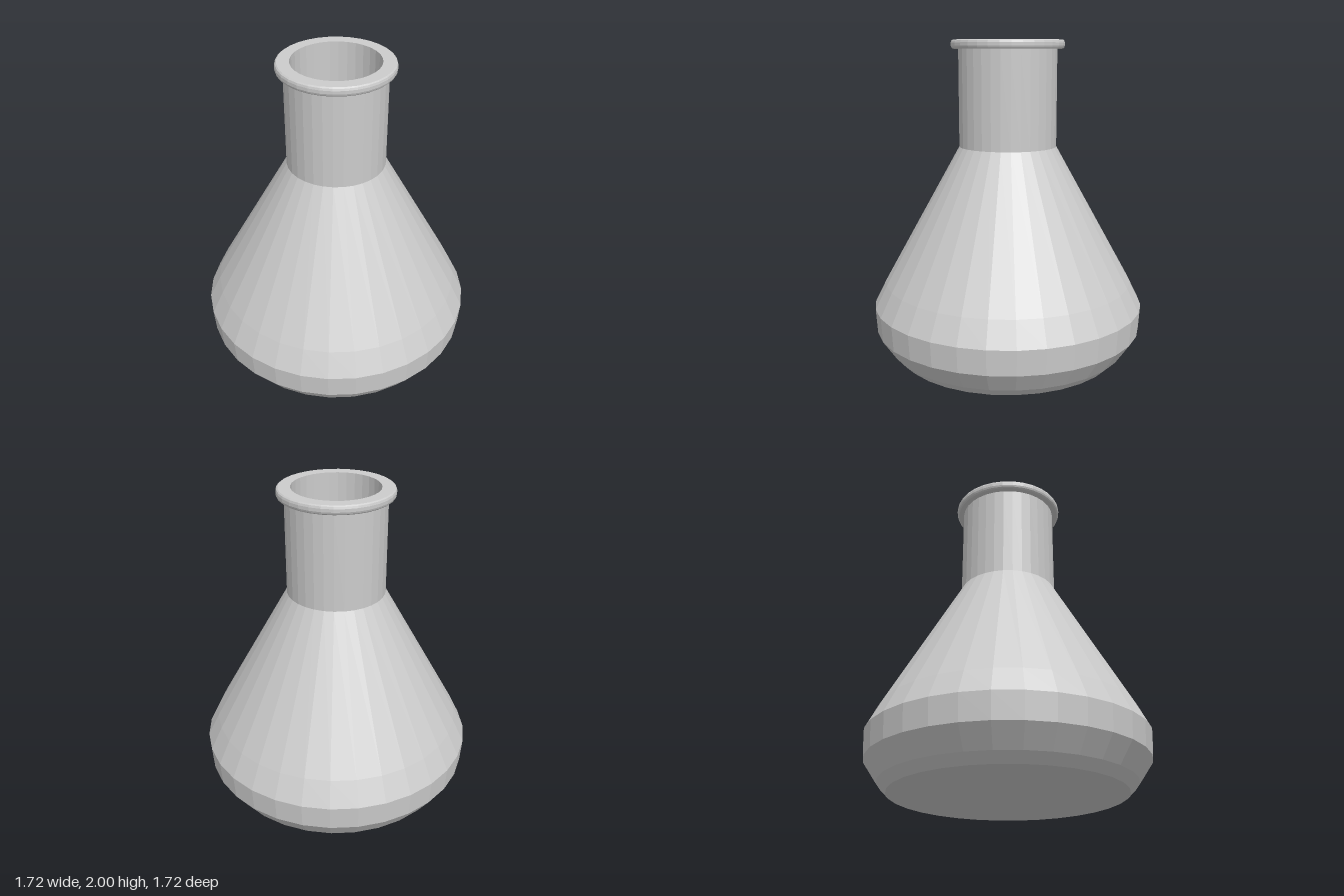
import * as THREE from 'three';

const SIDES = 32;

function lathe(name, profile, material) {
  const points = profile.map(([r, y]) => new THREE.Vector2(r, y));
  const mesh = new THREE.Mesh(new THREE.LatheGeometry(points, SIDES), material);
  mesh.name = name;
  return mesh;
}

export function createModel() {
  const group = new THREE.Group();
  group.name = 'conicalFlask';
  const glass = new THREE.MeshStandardMaterial({ color: 0xcccccc, flatShading: true });

  // Outer wall: flat base, rounded heel, cone and straight neck
  group.add(lathe('outerWall', [
    [0, 0], [0.71, 0], [0.765, 0.055], [0.85, 0.18], [0.86, 0.335],
    [0.785, 0.485], [0.305, 1.345], [0.305, 1.945],
  ], glass));

  // Rolled lip around the mouth
  group.add(lathe('lip', [
    [0.305, 1.945], [0.338, 1.945], [0.346, 1.952], [0.35, 1.963],
    [0.35, 1.982], [0.346, 1.994], [0.338, 2], [0.265, 2],
  ], glass));

  // Inner wall follows the outer one down to the inside floor
  group.add(lathe('innerWall', [
    [0.265, 2], [0.265, 1.335], [0.745, 0.475], [0.818, 0.328],
    [0.81, 0.19], [0.735, 0.082], [0.695, 0.04], [0, 0.04],
  ], glass));

  return group;
}
